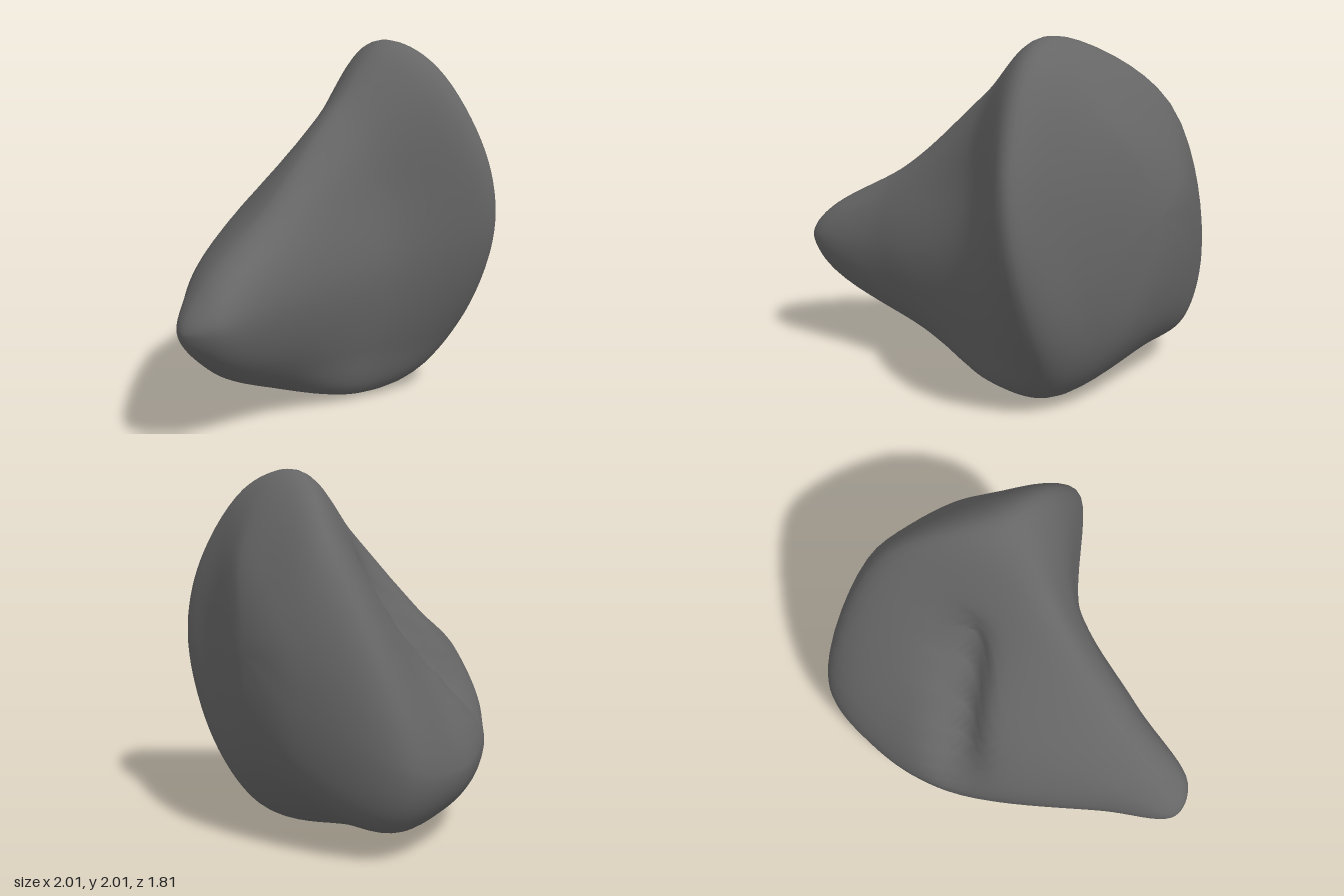
import * as THREE from 'three';

const AROUND = 80, STEPS = 10;

// Cross-sections from the pointed tip to the broad domed face.
// Each runs from the top ridge down the front, under the bottom and up the back.
const TIP = new THREE.Vector3(-1, 0.67, 0.77);
const FACE = new THREE.Vector3(1, 1.07, -0.1);
const SECTIONS = [
  // near the tip
  [[-0.85, 0.88, 0.66], [-0.85, 0.87, 0.77], [-0.85, 0.81, 0.86], [-0.85, 0.71, 0.9], [-0.84, 0.55, 0.84],
    [-0.82, 0.44, 0.71], [-0.82, 0.46, 0.56], [-0.82, 0.53, 0.44], [-0.83, 0.66, 0.39], [-0.84, 0.81, 0.49]],
  // neck
  [[-0.4, 1.19, 0.48], [-0.38, 1.14, 0.62], [-0.36, 0.99, 0.72], [-0.35, 0.72, 0.76], [-0.32, 0.36, 0.64],
    [-0.3, 0.15, 0.43], [-0.3, 0.16, 0.05], [-0.35, 0.26, -0.33], [-0.36, 0.52, -0.44], [-0.34, 1.0, -0.06]],
  // waist
  [[0.1, 1.66, 0.33], [0.15, 1.49, 0.5], [0.26, 1.18, 0.59], [0.26, 0.78, 0.64], [0.2, 0.31, 0.55],
    [0.23, 0.02, 0.42], [0.2, 0.09, -0.2], [0.1, 0.17, -0.62], [0.05, 0.45, -0.76], [0.12, 1.4, -0.06]],
  // rim of the broad face
  [[0.5, 2, 0.2], [0.62, 1.89, 0.51], [0.8, 1.43, 0.77], [0.87, 0.98, 0.79], [0.81, 0.4, 0.57],
    [0.64, 0.06, 0.32], [0.53, 0.12, -0.35], [0.5, 0.2, -0.75], [0.48, 0.55, -0.9], [0.64, 1.63, -0.43]],
  // dome of the broad face
  [[0.86, 1.62, 0.12], [0.87, 1.52, 0.3], [0.9, 1.25, 0.43], [0.92, 0.95, 0.44], [0.93, 0.66, 0.32],
    [0.92, 0.42, 0.1], [0.88, 0.42, -0.2], [0.85, 0.5, -0.42], [0.87, 0.82, -0.48], [0.9, 1.3, -0.35]],
];

// Slanting groove pressed into the back
function pressGroove(p) {
  if (p.x + p.z > 0.4) return p;
  const centre = -0.04 + 0.4 * (p.y - 0.55);
  const across = (p.x - p.z - centre) / 0.17;
  const along = (p.y - 1.05) / 0.4;
  const depth = 0.13 * Math.exp(-across * across - along ** 4);
  return p.add(new THREE.Vector3(depth, 0, depth));
}

function buildStone() {
  const rings = SECTIONS.map((pts) =>
    new THREE.CatmullRomCurve3(pts.map((p) => new THREE.Vector3(...p)), true));
  const column = (u) => rings.map((r) => r.getPoint((u % AROUND) / AROUND));
  const rows = (SECTIONS.length + 1) * STEPS;
  const positions = [...TIP.toArray()];
  const grid = Array.from({ length: rows - 1 }, () => []);

  // Closed curves through both poles keep the ends round
  for (let u = 0; u < AROUND; u++) {
    const loop = new THREE.CatmullRomCurve3(
      [TIP, ...column(u), FACE, ...column(u + AROUND / 2).reverse()], true);
    for (let v = 1; v < rows; v++) {
      grid[v - 1][u] = positions.length / 3;
      positions.push(...pressGroove(loop.getPoint(v / (2 * rows))).toArray());
    }
  }
  const last = positions.length / 3;
  positions.push(...FACE.toArray());

  // Skin between neighbouring rows, with a fan at each pole
  const index = [];
  for (let u = 0; u < AROUND; u++) {
    const n = (u + 1) % AROUND;
    index.push(0, grid[0][n], grid[0][u]);
    for (let v = 0; v < rows - 2; v++) {
      const a = grid[v][u], b = grid[v][n], c = grid[v + 1][u], d = grid[v + 1][n];
      index.push(a, b, c, b, d, c);
    }
    index.push(grid[rows - 2][u], grid[rows - 2][n], last);
  }

  const geometry = new THREE.BufferGeometry();
  geometry.setAttribute('position', new THREE.Float32BufferAttribute(positions, 3));
  geometry.setIndex(index);
  geometry.computeVertexNormals();
  return geometry;
}

export function createModel() {
  const group = new THREE.Group();
  group.name = 'rock';
  const stone = new THREE.MeshStandardMaterial({ color: 0x666666 });
  stone.name = 'dark grey stone';
  const mesh = new THREE.Mesh(buildStone(), stone);
  mesh.name = 'stone';
  group.add(mesh);
  return group;
}
